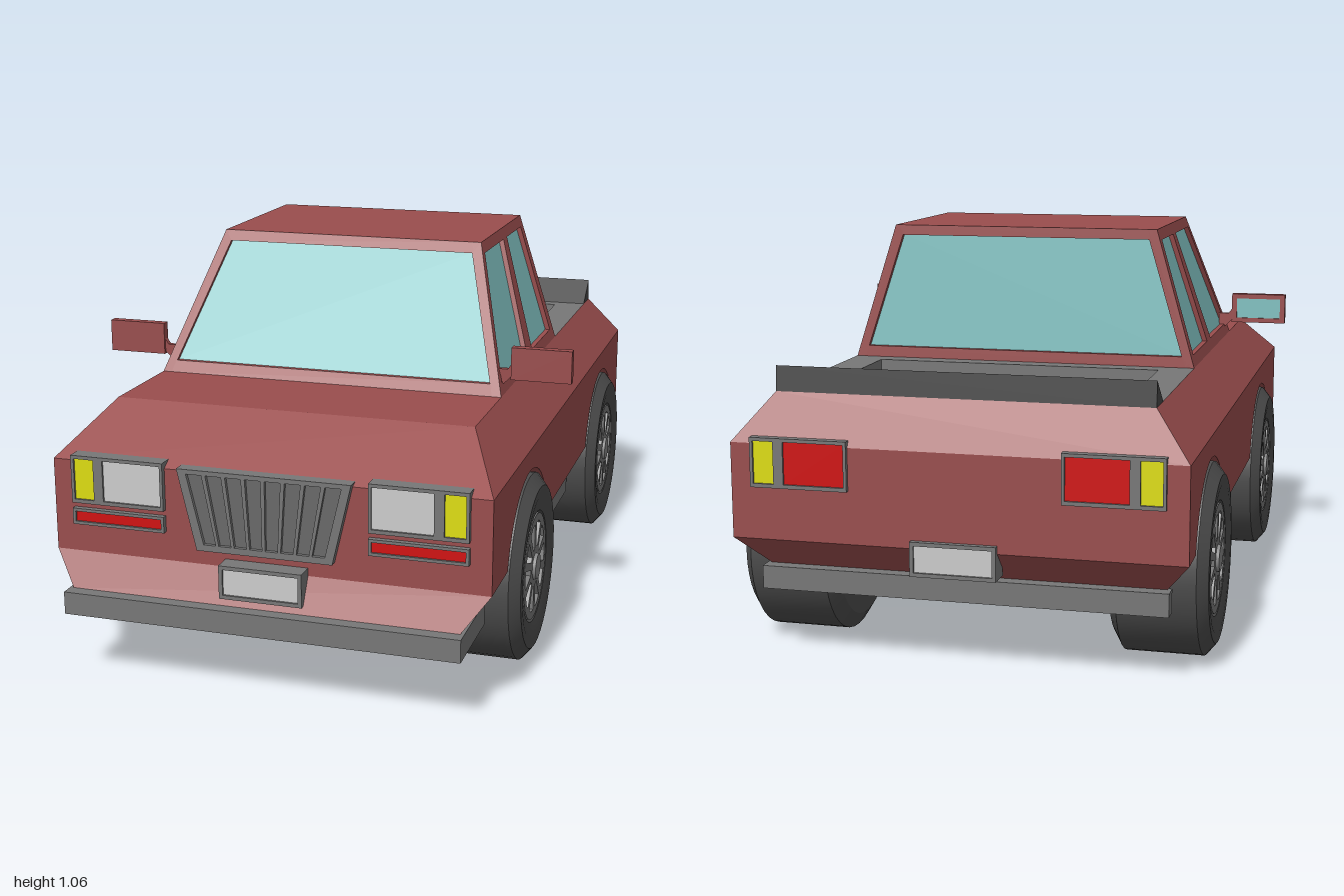
import * as THREE from 'three';
import { toCreasedNormals } from 'three/addons/utils/BufferGeometryUtils.js';

const mat = (color) => new THREE.MeshStandardMaterial({ color, side: THREE.DoubleSide });
const RED = mat(0x994d4d), GLASS = mat(0x80c0c0), GREY = mat(0x777777), DARK = mat(0x484848);
const WHITE = mat(0xc4c4c4), YELLOW = mat(0xdddd10), LAMP = mat(0xd01010), TYRE = mat(0x4c4c4c);
const lerp = THREE.MathUtils.lerp;

function add(parent, name, geometry, material) {
  const mesh = new THREE.Mesh(geometry, material);
  mesh.name = name;
  parent.add(mesh);
  return mesh;
}

function box(parent, name, material, x0, x1, y0, y1, z0, z1) {
  const g = new THREE.BoxGeometry(Math.abs(x1 - x0), y1 - y0, z1 - z0);
  g.translate((x0 + x1) / 2, (y0 + y1) / 2, (z0 + z1) / 2);
  return add(parent, name, g, material);
}

const vecs = (pts) => pts.map(([a, b]) => new THREE.Vector2(a, b));
const rect = (x0, x1, y0, y1) => [[x0, y0], [x1, y0], [x1, y1], [x0, y1]];

// Flat outline with holes, thickened by depth, then laid in place by map(u, v, w)
function panel(parent, name, material, pts, holes, depth, map) {
  const shape = new THREE.Shape(vecs(pts));
  holes.forEach((h) => shape.holes.push(new THREE.Path(vecs(h))));
  let g = depth
    ? new THREE.ExtrudeGeometry(shape, { depth, bevelEnabled: false })
    : new THREE.ShapeGeometry(shape).toNonIndexed();
  const p = g.attributes.position;
  for (let i = 0; i < p.count; i++) p.setXYZ(i, ...map(p.getX(i), p.getY(i), p.getZ(i)));
  g.computeVertexNormals();
  return add(parent, name, g, material);
}

// Body levels: height, half width, front z, back z
const LEVELS = [[0.24, 0.515, 0.965, -0.9], [0.325, 0.58, 0.915, -0.985], [0.57, 0.58, 0.915, -0.985], [0.69, 0.485, 0.72, -0.91]];
const AXLES = [-0.63, 0.49], AXLE_Y = 0.25, ARCH = 0.262;

function level(y, k) {
  const i = y < 0.325 ? 0 : y < 0.57 ? 1 : 2;
  const a = LEVELS[i], b = LEVELS[i + 1];
  return lerp(a[k], b[k], (y - a[0]) / (b[0] - a[0]));
}

function buildBody(car) {
  const body = new THREE.Group();
  body.name = 'body';
  car.add(body);
  const archHalf = (y) => Math.sqrt(ARCH ** 2 - (y - AXLE_Y) ** 2);

  // Side outlines in (z, y); the lowest band is split by the wheel arches
  const [l0, l1, l2, l3] = LEVELS;
  const cuts = [0, 1].map((i) => AXLES.map((z) => [z - archHalf(LEVELS[i][0]), z + archHalf(LEVELS[i][0])]).flat());
  const low = [l0[3], ...cuts[0], l0[2]], high = [l1[3], ...cuts[1], l1[2]];
  const outlines = [0, 2, 4].map((i) => [[low[i], l0[0]], [low[i + 1], l0[0]], [high[i + 1], l1[0]], [high[i], l1[0]]]);
  const mid = [[l1[3], l1[0]]];
  const a0 = Math.asin((l1[0] - AXLE_Y) / ARCH);
  for (const z of AXLES) {
    for (let i = 0; i <= 20; i++) {
      const a = lerp(Math.PI - a0, a0, i / 20);
      mid.push([z + ARCH * Math.cos(a), AXLE_Y + ARCH * Math.sin(a)]);
    }
  }
  mid.push([l1[2], l1[0]], [l2[2], l2[0]], [l2[3], l2[0]]);
  outlines.push(mid, [[l2[3], l2[0]], [l2[2], l2[0]], [l3[2], l3[0]], [l3[3], l3[0]]]);
  for (const s of [1, -1]) {
    outlines.forEach((o) => panel(body, 'bodySide', RED, o, [], 0, (z, y) => [s * level(y, 1), y, z]));
    // Wheel arch linings
    for (const z of AXLES) {
      const g = new THREE.CylinderGeometry(ARCH, ARCH, 0.24, 28, 1, true, 0, Math.PI).rotateZ(Math.PI / 2);
      g.translate(s * 0.46, AXLE_Y, z);
      const p = g.attributes.position;
      for (let i = 0; i < p.count; i++) p.setX(i, s * Math.min(Math.abs(p.getX(i)), level(p.getY(i), 1)));
      add(body, 'wheelArch', g, RED);
    }
  }
  // Nose and tail
  for (let i = 0; i < 3; i++) {
    const a = LEVELS[i], b = LEVELS[i + 1];
    const o = [[-a[1], a[0]], [a[1], a[0]], [b[1], b[0]], [-b[1], b[0]]];
    panel(body, 'nose', RED, o, [], 0, (x, y) => [x, y, lerp(a[2], b[2], (y - a[0]) / (b[0] - a[0]))]);
    panel(body, 'tail', RED, o, [], 0, (x, y) => [x, y, lerp(a[3], b[3], (y - a[0]) / (b[0] - a[0]))]);
  }
  // Hood, bed rim and bed
  panel(body, 'hood', RED, rect(-0.485, 0.485, -0.32, 0.72), [], 0, (x, z) => [x, 0.69, z]);
  panel(body, 'bedRim', GREY, rect(-0.485, 0.485, -0.91, -0.32), [rect(-0.395, 0.395, -0.78, -0.37)], 0.09, (x, z, w) => [x * (1 - w * 0.01), 0.69 - w, z]);
  panel(body, 'bedFloor', DARK, rect(-0.395, 0.395, -0.78, -0.37), [], 0, (x, z) => [x, 0.602, z]);
  // Tail spoiler
  panel(body, 'spoiler', DARK, [[-0.82, 0.69], [-0.91, 0.69], [-0.905, 0.755]], [], 0.97, (z, y, w) => [w - 0.485, y, z]);
  // Chassis plate with wheel notches; its ends are the bumpers
  const right = [[0.525, -0.935]];
  AXLES.forEach((z) => right.push([0.525, z - 0.26], [0.34, z - 0.26], [0.34, z + 0.26], [0.525, z + 0.26]));
  right.push([0.525, 1]);
  const left = right.map(([x, z]) => [-x, z]).reverse();
  panel(body, 'chassis', GREY, [...right, ...left], [], 0.06, (x, z, w) => [x, 0.18 + w, z]);
}

function buildCab(car) {
  const cab = new THREE.Group();
  cab.name = 'cab';
  car.add(cab);
  const Y0 = 0.69, Y1 = 1.063;
  const t = (y) => (y - Y0) / (Y1 - Y0);
  const half = (y) => lerp(0.485, 0.373, t(y));
  const front = (y) => lerp(0.43, 0.215, t(y));
  const back = (y) => lerp(-0.318, -0.288, t(y));
  const frame = (name, outline, windows, map) => {
    panel(cab, name, RED, outline, windows, 0.025, map);
    windows.forEach((o) => panel(cab, name + 'Glass', GLASS, o, [], 0, (u, v) => map(u, v, 0.014)));
  };
  const side = [[back(Y0), Y0], [front(Y0), Y0], [front(Y1), Y1], [back(Y1), Y1]];
  const frontDoor = [[0.06, 0.72], [0.385, 0.72], [0.205, 1.033], [-0.025, 1.033]];
  const rearDoor = [[-0.275, 0.72], [-0.01, 0.72], [-0.07, 1.033], [-0.257, 1.033]];
  for (const s of [1, -1]) frame('sideFrame', side, [frontDoor, rearDoor], (z, y, w) => [s * (half(y) - w), y, z]);
  const across = [[-0.485, Y0], [0.485, Y0], [0.373, Y1], [-0.373, Y1]];
  const screen = [[-0.45, 0.72], [0.45, 0.72], [0.352, 1.035], [-0.352, 1.035]];
  frame('windscreen', across, [screen], (x, y, w) => [x, y, front(y) - w]);
  frame('rearScreen', across, [screen], (x, y, w) => [x, y, back(y) + w]);
  panel(cab, 'roof', RED, rect(-0.373, 0.373, back(Y1), front(Y1)), [], 0, (x, z) => [x, Y1, z]);
  // Door mirrors
  for (const s of [1, -1]) {
    const arm = [[0.46, 0.71], [0.48, 0.715], [0.5, 0.735], [0.5, 0.77], [0.49, 0.755], [0.46, 0.755]];
    panel(cab, 'mirrorArm', RED, arm, [], 0.015, (x, y, w) => [s * x, y, 0.363 + w]);
    box(cab, 'mirrorShell', RED, s * 0.5, s * 0.663, 0.728, 0.816, 0.367, 0.385);
    panel(cab, 'mirrorRim', RED, rect(0.5, 0.663, 0.728, 0.816), [rect(0.515, 0.648, 0.742, 0.802)], 0.007, (x, y, w) => [s * x, y, 0.36 + w]);
    box(cab, 'mirrorGlass', GLASS, s * 0.515, s * 0.648, 0.742, 0.802, 0.364, 0.368);
  }
}

// Raised frame holding recessed coloured lenses; each lens is [material, x0, x1, y0, y1]
function framedPanel(parent, name, outline, lenses, z0, z1, s = 1) {
  panel(parent, name + 'Frame', GREY, outline, lenses.map((l) => rect(...l.slice(1))), z1 - z0, (x, y, w) => [s * x, y, z0 + w]);
  lenses.forEach(([m, x0, x1, y0, y1]) => box(parent, name + 'Lens', m, s * x0, s * x1, y0, y1, z0, z1 - 0.006));
}

function buildFittings(car) {
  const front = new THREE.Group(), rear = new THREE.Group();
  front.name = 'frontFittings';
  rear.name = 'rearFittings';
  rear.rotation.y = Math.PI;
  car.add(front, rear);
  for (const s of [1, -1]) {
    const lamp = (inner) => [[YELLOW, 0.463, 0.517, 0.47, 0.578], [inner, 0.279, 0.437, 0.47, 0.578]];
    framedPanel(front, 'headlight', rect(0.271, 0.525, 0.46, 0.587), lamp(WHITE), 0.885, 0.93, s);
    framedPanel(front, 'markerLight', rect(0.271, 0.525, 0.402, 0.445), [[LAMP, 0.279, 0.517, 0.41, 0.437]], 0.89, 0.93, s);
    framedPanel(rear, 'tailLight', rect(0.271, 0.525, 0.46, 0.587), lamp(LAMP), 0.97, 0.996, s);
  }
  const plate = [[WHITE, -0.1, 0.1, 0.268, 0.336]];
  framedPanel(front, 'numberPlate', rect(-0.11, 0.11, 0.258, 0.346), plate, 0.9, 0.966);
  framedPanel(rear, 'numberPlate', rect(-0.11, 0.11, 0.258, 0.346), plate, 0.935, 1);

  // Grille with fanned openings
  const slots = [];
  for (let i = 0; i < 8; i++) {
    const a = (i + 0.1) / 4 - 1, b = (i + 0.9) / 4 - 1;
    slots.push([[a * 0.165, 0.385], [b * 0.165, 0.385], [b * 0.21, 0.568], [a * 0.21, 0.568]]);
  }
  const outline = [[-0.18, 0.368], [0.18, 0.368], [0.23, 0.58], [-0.23, 0.58]];
  panel(front, 'grille', GREY, outline, slots, 0.045, (x, y, w) => [x, y, 0.89 + w]);
  slots.forEach((o) => panel(front, 'grilleSlot', mat(0x686868), o, [], 0, (x, y) => [x, y, 0.925]));
}

function buildWheel(car, z, s) {
  const wheel = new THREE.Group();
  wheel.name = 'wheel';
  wheel.position.set(0, AXLE_Y, z);
  wheel.rotation.y = s > 0 ? 0 : Math.PI;
  car.add(wheel);
  // Tyre profile as (radius, distance from the car's middle)
  const profile = vecs([[0, 0.355], [0.21, 0.355], [0.25, 0.38], [0.25, 0.582], [0.218, 0.608], [0.195, 0.608], [0.15, 0.6], [0.14, 0.585], [0, 0.585]]);
  const tyre = toCreasedNormals(new THREE.LatheGeometry(profile, 40), 0.4);
  add(wheel, 'tyre', tyre.rotateZ(-Math.PI / 2), TYRE);
  // Rim with wedge openings between ten spokes
  const circle = Array.from({ length: 40 }, (_, i) => [0.143 * Math.cos(i * Math.PI / 20), 0.143 * Math.sin(i * Math.PI / 20)]);
  const polar = (r, a) => [r * Math.cos(a), r * Math.sin(a)];
  const wedges = Array.from({ length: 10 }, (_, i) => {
    const a = i * Math.PI / 5;
    return [polar(0.055, a - 0.14), polar(0.12, a - 0.22), polar(0.123, a), polar(0.12, a + 0.22), polar(0.055, a + 0.14)];
  });
  panel(wheel, 'rim', GREY, circle, wedges, 0.02, (u, v, w) => [0.58 + w, v, -u]);
  const hub = new THREE.CylinderGeometry(0.034, 0.04, 0.025, 24).rotateZ(-Math.PI / 2).translate(0.596, 0, 0);
  add(wheel, 'hub', hub, mat(0x868686));
}

export function createModel() {
  const car = new THREE.Group();
  car.name = 'pickupTruck';
  buildBody(car);
  buildCab(car);
  buildFittings(car);
  for (const z of AXLES) for (const s of [1, -1]) buildWheel(car, z, s);
  return car;
}
